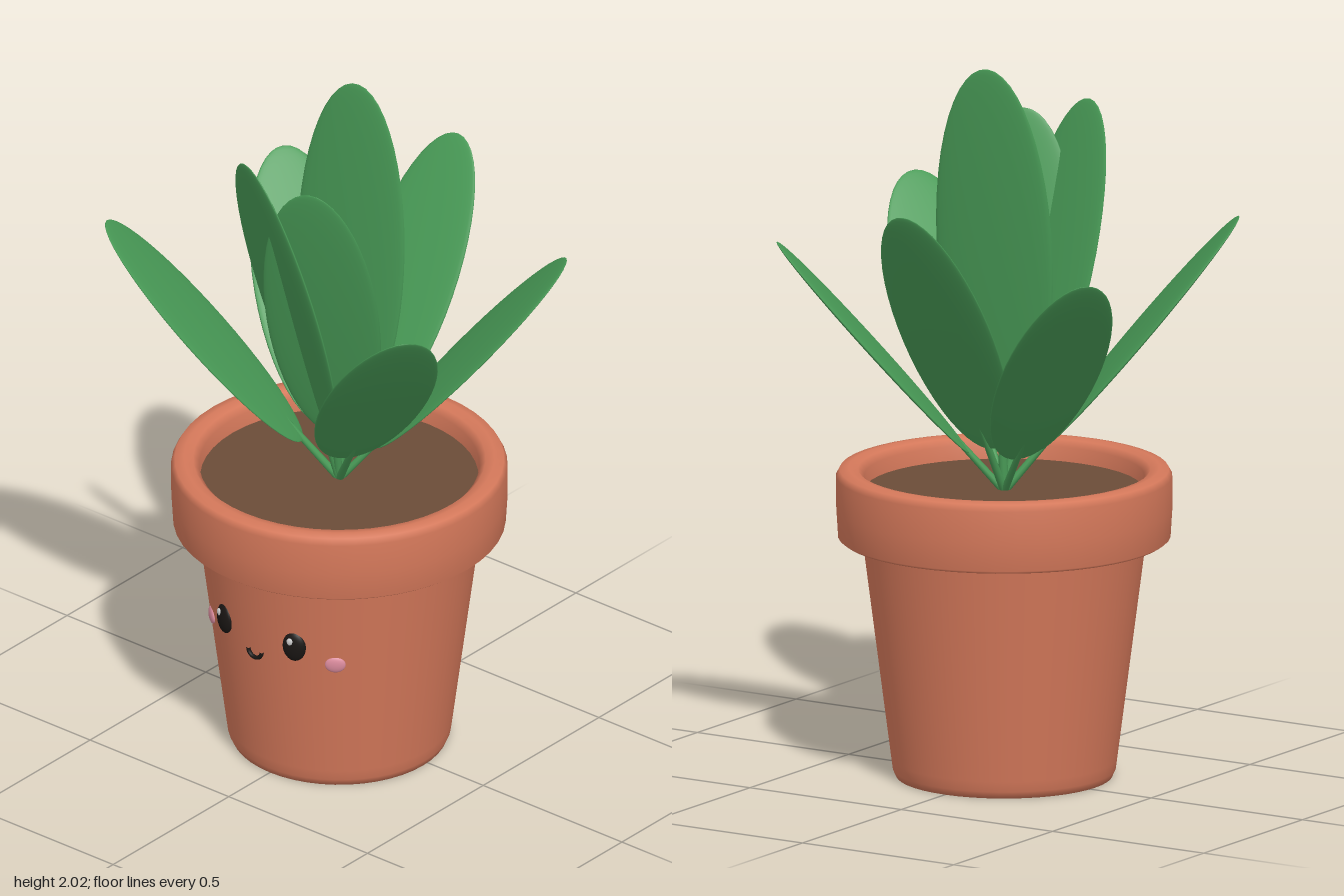
import * as THREE from 'three';

const CENTER_Z = 0.022;
const mat = (color, side = THREE.FrontSide) => new THREE.MeshStandardMaterial({ color, side });
const clay = mat(0xd4785a, THREE.DoubleSide);
const soilMat = mat(0x6b4c38);
const green = mat(0x489a56);
const black = mat(0x1a1614);
const white = mat(0xffffff);
const pink = mat(0xd98a9c);

function mesh(name, geometry, material, parent) {
  const m = new THREE.Mesh(geometry, material);
  m.name = name;
  parent.add(m);
  return m;
}

function lathe(points) {
  return new THREE.LatheGeometry(points.map(([r, y]) => new THREE.Vector2(r, y)), 48);
}

// Pot radius at a given height of the tapered body
const potRadius = (y) => 0.307 + 0.086 * (y / 0.67);

// Group sitting on the pot wall, its +z pointing outward
function onPot(name, x, y, parent) {
  const g = new THREE.Group();
  g.name = name;
  const r = potRadius(y);
  const angle = Math.asin(x / r);
  g.position.set(x, y, r * Math.cos(angle));
  g.rotation.y = angle;
  parent.add(g);
  return g;
}

function ellipsoid(name, rx, ry, rz, material, parent, w = 24, h = 16) {
  const m = mesh(name, new THREE.SphereGeometry(1, w, h), material, parent);
  m.scale.set(rx, ry, rz);
  return m;
}

// Flattened blade on a thin stem; yaw runs from the front towards +x
function addLeaf(name, size, tiltDeg, yawDeg, parent) {
  const leaf = new THREE.Group();
  leaf.name = name;
  const stem = mesh('stem', new THREE.CylinderGeometry(0.008, 0.012, 0.3, 10), green, leaf);
  stem.position.y = 0.13;
  const blade = ellipsoid('blade', 0.16, 0.428, 0.014, green, leaf, 32, 24);
  blade.position.y = 0.585;
  leaf.scale.setScalar(size);
  leaf.rotation.order = 'YXZ';
  leaf.rotation.set(THREE.MathUtils.degToRad(tiltDeg), THREE.MathUtils.degToRad(yawDeg), 0);
  leaf.position.y = 0.805;
  parent.add(leaf);
}

export function createModel() {
  const root = new THREE.Group();
  root.name = 'pottedPlant';
  const plant = new THREE.Group();
  plant.name = 'plantAndPot';
  plant.position.z = CENTER_Z;
  root.add(plant);

  // Pot body, rim and soil
  mesh('potBody', lathe([
    [0, 0], [0.3, 0], [0.309, 0.02], [0.313, 0.05], [0.393, 0.67], [0.395, 0.69],
  ]), clay, plant);
  mesh('potRim', lathe([
    [0.38, 0.672], [0.45, 0.672], [0.461, 0.68], [0.466, 0.76], [0.466, 0.85], [0.456, 0.868],
    [0.43, 0.873], [0.405, 0.868], [0.388, 0.85], [0.384, 0.78],
  ]), clay, plant);
  const soil = mesh('soil', new THREE.CylinderGeometry(0.386, 0.386, 0.03, 48), soilMat, plant);
  soil.position.y = 0.795;

  // Face
  for (const side of [-1, 1]) {
    const eye = onPot('eye', side * 0.125, 0.465, plant);
    ellipsoid('eyeball', 0.034, 0.045, 0.016, black, eye);
    const glint = ellipsoid('eyeGlint', 0.009, 0.011, 0.005, white, eye, 12, 8);
    glint.position.set(-0.009, 0.019, 0.0135);
    const cheek = onPot('cheek', side * 0.222, 0.415, plant);
    ellipsoid('blush', 0.029, 0.024, 0.009, pink, cheek);
  }
  const mouth = onPot('mouth', 0, 0.418, plant);
  const smile = mesh('smile', new THREE.TorusGeometry(0.024, 0.006, 8, 20, Math.PI), black, mouth);
  smile.rotation.z = Math.PI;
  smile.position.z = 0.004;

  // Leaves: [name, size, tilt, yaw]
  const leaves = [
    ['tallLeaf', 1.2, 4, 180],
    ['backLeaf', 1.0, 30.5, 180],
    ['frontRightInnerLeaf', 1.1, 15.4, -20],
    ['frontLeftInnerLeaf', 1.05, 13.9, 21],
  ];
  for (const [side, label] of [[1, 'Left'], [-1, 'Right']]) {
    leaves.push([`front${label}OuterLeaf`, 1.0, 40, side * 55.5]);
    leaves.push([`back${label}OuterLeaf`, 0.94, 41.5, side * 126]);
  }
  for (const l of leaves) addLeaf(...l, plant);

  return root;
}
